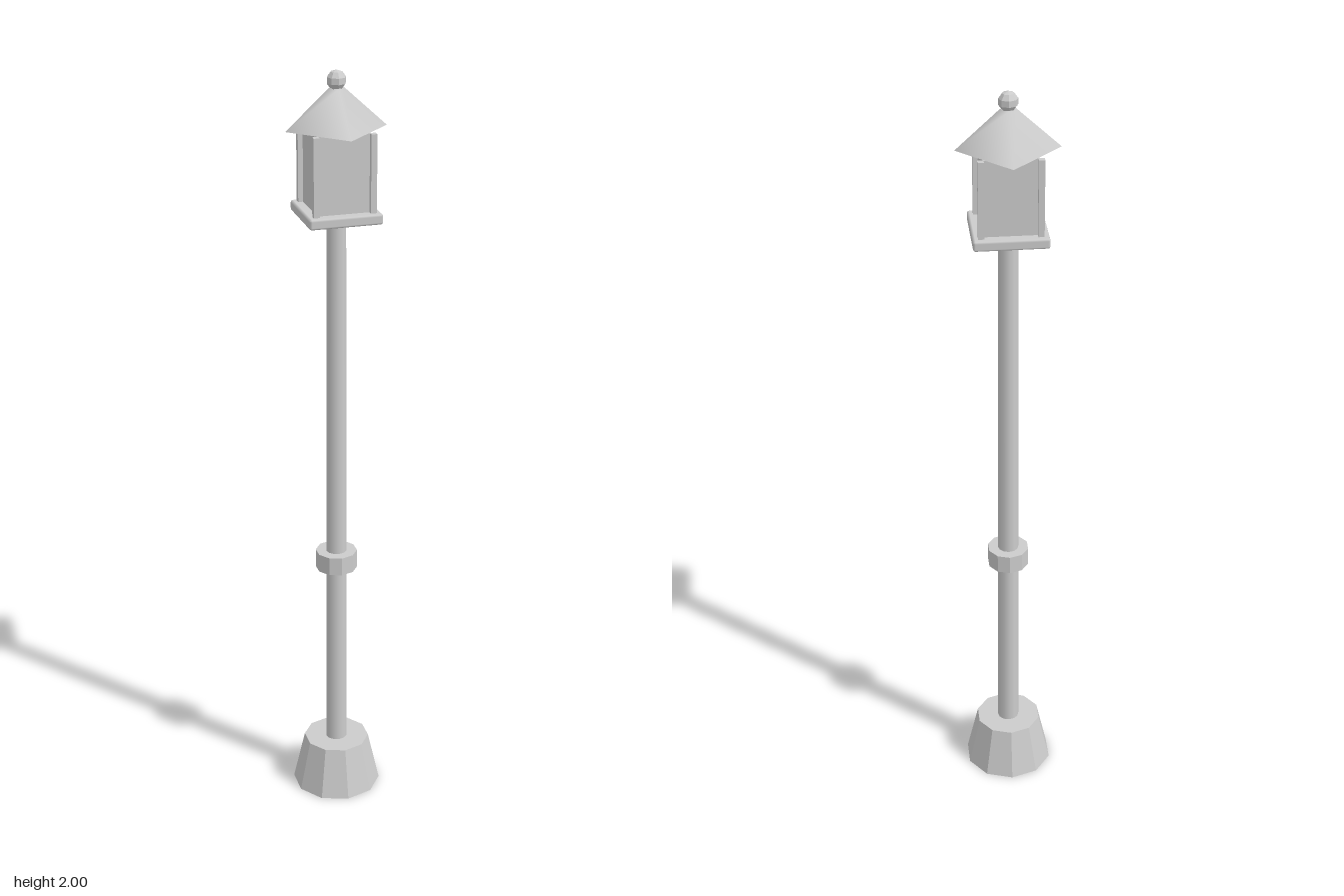
import * as THREE from 'three';
import { RoundedBoxGeometry } from 'three/addons/geometries/RoundedBoxGeometry.js';

export function createModel() {
  const model = new THREE.Group();
  model.name = 'lampPost';
  const material = new THREE.MeshStandardMaterial({ color: 0xcccccc });
  material.name = 'light grey';

  // Adds a mesh standing between two heights
  function add(name, geometry, bottom, top, x = 0, z = 0) {
    const mesh = new THREE.Mesh(geometry, material);
    mesh.name = name;
    mesh.position.set(x, (bottom + top) / 2, z);
    model.add(mesh);
    return mesh;
  }

  // Removes shared vertices so every facet gets its own normal
  function faceted(geometry) {
    const flat = geometry.toNonIndexed();
    flat.computeVertexNormals();
    return flat;
  }

  // Tapered ten-sided foot, smooth pole and faceted collar
  add('base', faceted(new THREE.CylinderGeometry(0.088, 0.119, 0.138, 10)), 0, 0.138);
  add('pole', new THREE.CylinderGeometry(0.025, 0.029, 1.51, 12), 0.13, 1.64);
  add('collar', faceted(new THREE.CylinderGeometry(0.055, 0.055, 0.05, 10)), 0.665, 0.715);

  // Lantern floor, glass body and corner posts
  add('lanternFloor', new RoundedBoxGeometry(0.186, 0.027, 0.186, 1, 0.006), 1.634, 1.661);
  add('lanternGlass', new THREE.BoxGeometry(0.134, 0.2, 0.134), 1.657, 1.857);
  for (const x of [-1, 1]) {
    for (const z of [-1, 1]) {
      add('cornerPost', new THREE.BoxGeometry(0.015, 0.2, 0.015), 1.657, 1.857, x * 0.072, z * 0.072);
    }
  }

  // Four-sided roof turned so its corners face the sides, with a ball on top
  add('roof', new THREE.CylinderGeometry(0.019, 0.128, 0.1, 4), 1.857, 1.957);
  add('finial', faceted(new THREE.SphereGeometry(0.025, 8, 5)), 1.95, 2.0);

  return model;
}
